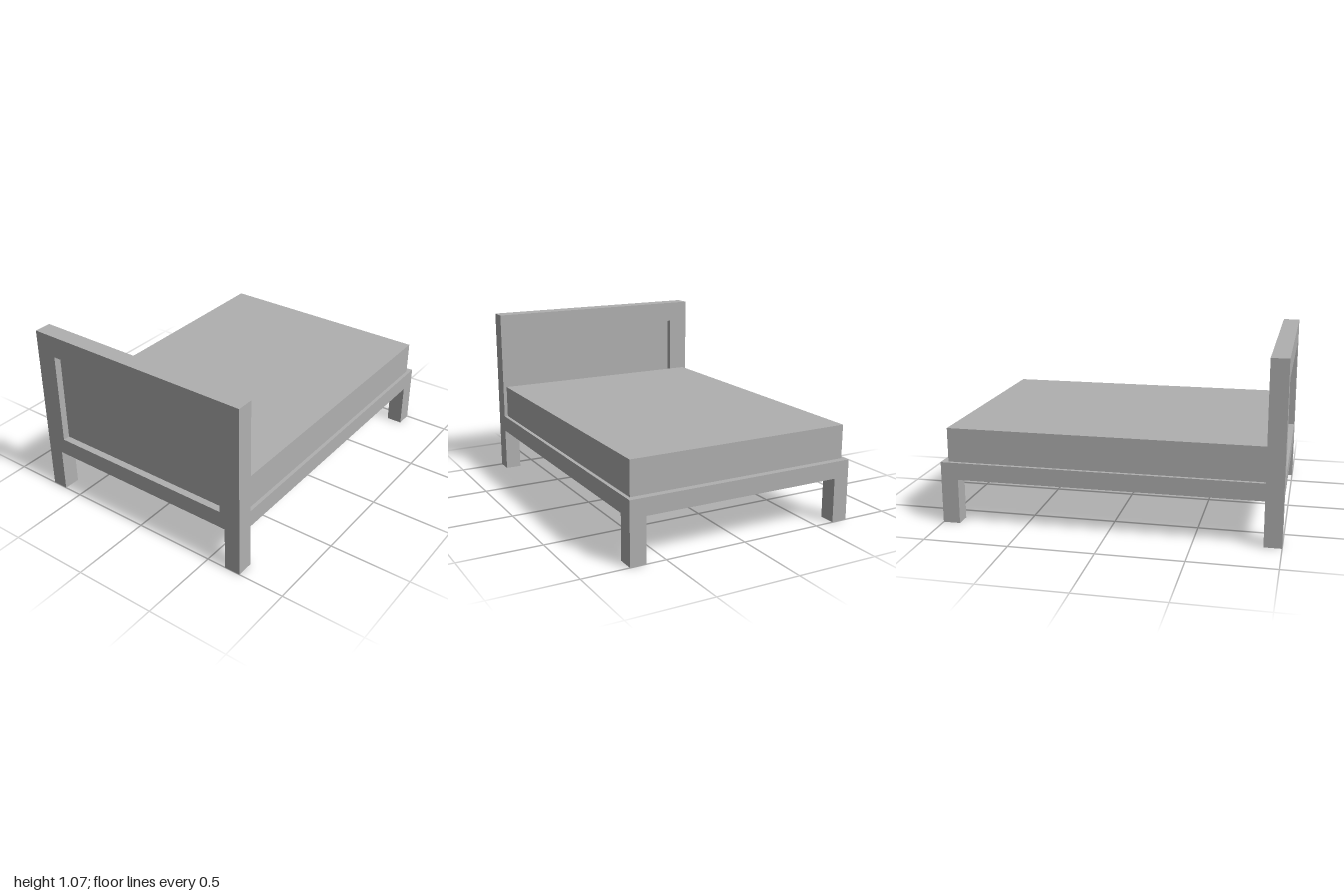
import * as THREE from 'three';

const HALF_Z = 0.717;       // half width of the bed
const POST = 0.103;         // post and headboard thickness
const RAIL_BOTTOM = 0.27, RAIL_TOP = 0.373;
const HEAD_X = -1 + POST;   // inner face of the headboard

function polygon(points, Type = THREE.Shape) {
  return new Type(points.map(([x, y]) => new THREE.Vector2(x, y)));
}

function rectangle(x0, x1, y0, y1, Type) {
  return polygon([[x0, y0], [x1, y0], [x1, y1], [x0, y1]], Type);
}

export function createModel() {
  const bed = new THREE.Group();
  bed.name = 'bed';
  const grey = new THREE.MeshStandardMaterial({ color: 0xb0b0b0 });
  grey.name = 'plain grey';

  const add = (name, geometry) => {
    const mesh = new THREE.Mesh(geometry, grey);
    mesh.name = name;
    bed.add(mesh);
    return mesh;
  };
  const addBox = (name, x0, x1, y0, y1, z0, z1) => {
    const mesh = add(name, new THREE.BoxGeometry(x1 - x0, y1 - y0, z1 - z0));
    mesh.position.set((x0 + x1) / 2, (y0 + y1) / 2, (z0 + z1) / 2);
  };

  // Headboard: two legs, a bottom rail and an opening for the panel
  const inner = HALF_Z - 0.098;
  const head = polygon([
    [-HALF_Z, 0], [-inner, 0], [-inner, RAIL_BOTTOM], [inner, RAIL_BOTTOM],
    [inner, 0], [HALF_Z, 0], [HALF_Z, 1.07], [-HALF_Z, 1.07],
  ]);
  head.holes.push(rectangle(-0.587, 0.587, RAIL_TOP, 0.938, THREE.Path));
  const headGeometry = new THREE.ExtrudeGeometry(head, { depth: POST, bevelEnabled: false });
  headGeometry.rotateY(Math.PI / 2).translate(-1, 0, 0);
  add('headboardFrame', headGeometry);

  // Thin panel in the middle of the headboard's thickness
  const panelX = -1 + POST / 2;
  addBox('headboardPanel', panelX - 0.009, panelX + 0.009, RAIL_TOP, 0.938, -0.587, 0.587);

  // Rail ring, open in the middle
  const ring = rectangle(HEAD_X, 1, -HALF_Z, HALF_Z);
  ring.holes.push(rectangle(-0.863, 0.863, -0.602, 0.602, THREE.Path));
  const ringGeometry = new THREE.ExtrudeGeometry(ring, { depth: RAIL_TOP - RAIL_BOTTOM, bevelEnabled: false });
  ringGeometry.rotateX(-Math.PI / 2).translate(0, RAIL_BOTTOM, 0);
  add('bedRails', ringGeometry);

  // Foot legs
  addBox('leftFootLeg', 1 - POST, 1, 0, RAIL_BOTTOM, inner, HALF_Z);
  addBox('rightFootLeg', 1 - POST, 1, 0, RAIL_BOTTOM, -HALF_Z, -inner);

  // Mattress resting on the rails
  addBox('mattress', HEAD_X, 0.96, RAIL_TOP, 0.577, -0.695, 0.695);

  return bed;
}
